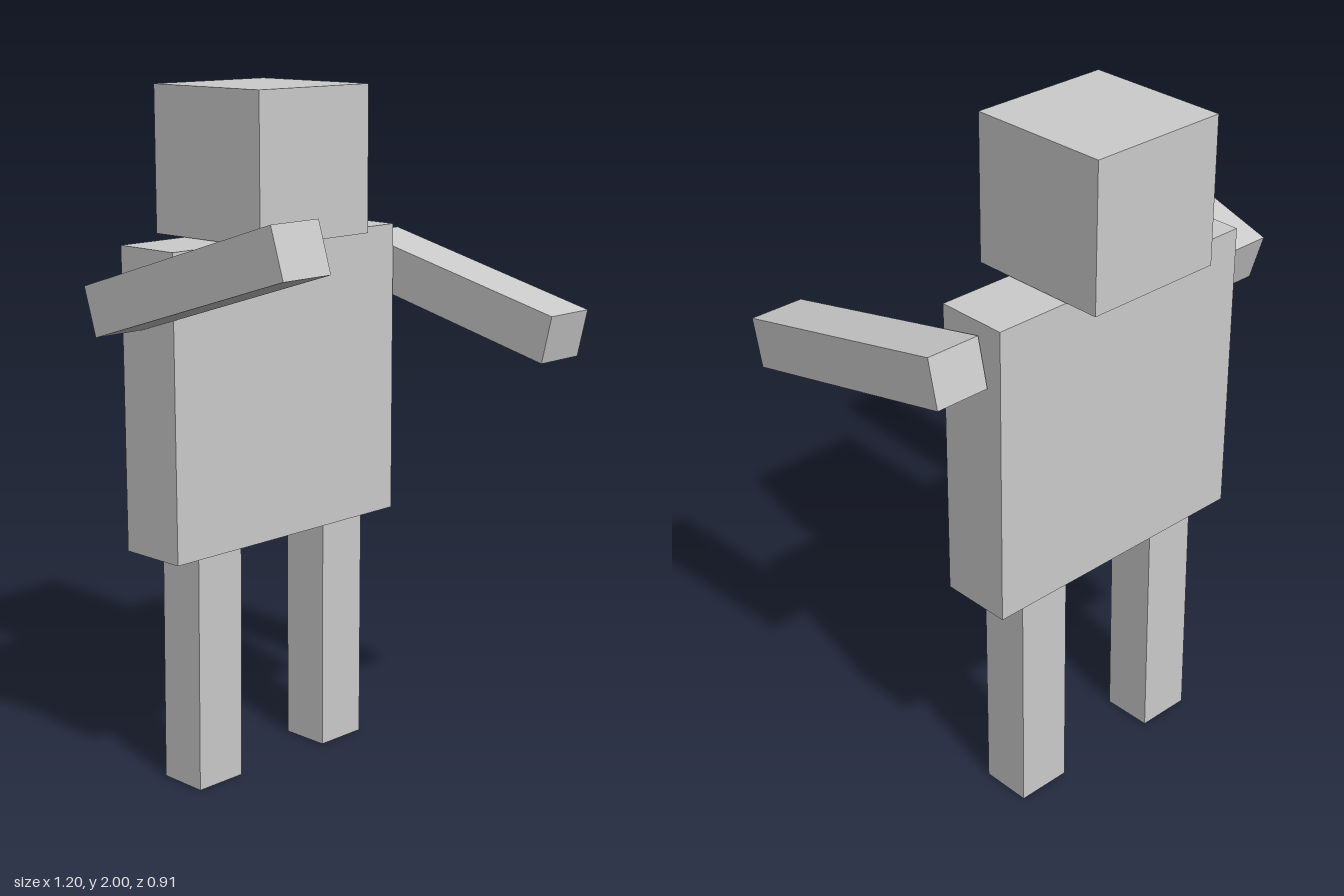
import * as THREE from 'three';

const material = new THREE.MeshStandardMaterial({ color: 0xcccccc, flatShading: true });

// Box from its size and centre, optionally pitched about x
function block(name, size, centre, pitch = 0) {
  const mesh = new THREE.Mesh(new THREE.BoxGeometry(...size), material);
  mesh.name = name;
  mesh.position.set(...centre);
  mesh.rotation.x = pitch;
  return mesh;
}

export function createModel() {
  const model = new THREE.Group();
  model.name = 'blockFigure';

  // Head overhangs the slim torso at front and back
  model.add(block('head', [0.425, 0.42, 0.425], [-0.008, 1.79, -0.243]));
  model.add(block('torso', [0.87, 0.87, 0.212], [-0.007, 1.143, -0.243]));

  // Arms reach forward: left slopes down, right slopes up
  const arm = [0.165, 0.142, 0.752];
  model.add(block('leftArm', arm, [0.515, 1.386, 0.077], 0.23));
  model.add(block('rightArm', arm, [-0.518, 1.533, 0.065], -0.307));

  // Legs run a little way into the torso
  const leg = [0.164, 0.75, 0.15];
  model.add(block('leftLeg', leg, [0.242, 0.376, -0.243], 0.004));
  model.add(block('rightLeg', leg, [-0.256, 0.376, -0.246], 0.012));

  return model;
}
